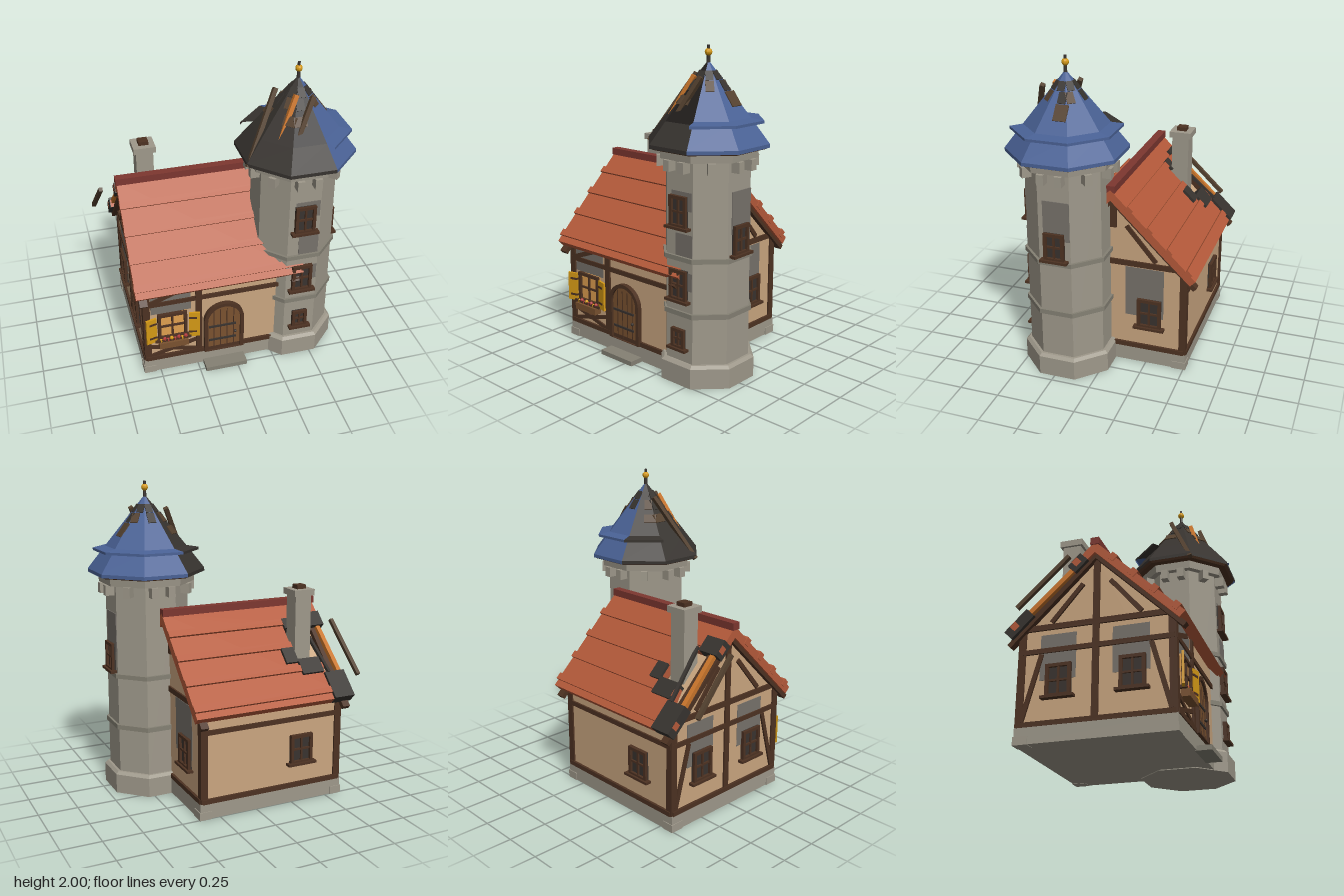
import * as THREE from 'three';

const C = {
  stone: 0x9f998b, stoneDark: 0x858174, plaster: 0xcaa680, wood: 0x4d3222, door: 0x7a5230, roof: 0xb55a3a,
  ridge: 0x7d3730, blue: 0x4a6296, char: 0x37332f, black: 0x211e1c, brown: 0x54412f, orange: 0xc9752b,
  gold: 0xd69a16, soot: 0x77726b, glass: 0x39332f, lit: 0xe0a050, flower: 0xb03a3a,
};
const mats = {};
const mat = (c) => (mats[c] ??= new THREE.MeshStandardMaterial({ color: C[c], flatShading: true, side: THREE.DoubleSide }));

function add(parent, name, geo, color, x = 0, y = 0, z = 0) {
  const m = new THREE.Mesh(geo, mat(color));
  m.name = name;
  m.position.set(x, y, z);
  parent.add(m);
  return m;
}
// box given by its extents on each axis
const span = (p, name, c, x0, x1, y0, y1, z0, z1) =>
  add(p, name, new THREE.BoxGeometry(x1 - x0, y1 - y0, z1 - z0), c, (x0 + x1) / 2, (y0 + y1) / 2, (z0 + z1) / 2);
// square timber between two points
function beam(p, name, c, a, b, w = 0.035, d = w) {
  const A = new THREE.Vector3(...a), B = new THREE.Vector3(...b), dir = B.clone().sub(A);
  const m = add(p, name, new THREE.BoxGeometry(w, dir.length(), d), c);
  m.position.copy(A).add(B).multiplyScalar(0.5);
  m.quaternion.setFromUnitVectors(new THREE.Vector3(0, 1, 0), dir.normalize());
  return m;
}
function sub(parent, name, x, y, z, ry = 0, rx = 0) {
  const g = new THREE.Group();
  g.name = name;
  g.position.set(x, y, z);
  g.rotation.set(rx, ry, 0, 'YXZ');
  parent.add(g);
  return g;
}
// framed window with cross bars and sill; local z points outwards
function windowAt(p, x, y, w, h, pane = 'glass') {
  const g = sub(p, 'window', x, y, 0), t = 0.02;
  span(g, 'pane', pane, -w / 2, w / 2, -h / 2, h / 2, -0.01, 0.008);
  for (const s of [-1, 1]) {
    add(g, 'frameSide', new THREE.BoxGeometry(t, h, 0.04), 'wood', s * (w - t) / 2, 0, 0.005);
    add(g, 'frameRail', new THREE.BoxGeometry(w, t, 0.04), 'wood', 0, s * (h - t) / 2, 0.005);
  }
  add(g, 'mullion', new THREE.BoxGeometry(0.012, h, 0.03), 'wood', 0, 0, 0.004);
  add(g, 'crossbar', new THREE.BoxGeometry(w, 0.012, 0.03), 'wood', 0, 0, 0.004);
  add(g, 'sill', new THREE.BoxGeometry(w + 0.045, 0.016, 0.06), 'wood', 0, -h / 2, 0.01);
  return g;
}
const soot = (p, x0, x1, y0, y1) => span(p, 'sootPatch', 'soot', x0, x1, y0, y1, -0.01, 0.003);

function buildHouse(root) {
  const house = sub(root, 'house', -0.11, 0, -0.035), W = 0.48, D = 0.465;
  span(house, 'foundation', 'stone', -0.495, 0.495, 0.01, 0.11, -D - 0.01, D + 0.01);
  for (const x of [-0.46, 0.46]) for (const z of [-0.435, 0.435])
    add(house, 'cornerStone', new THREE.BoxGeometry(0.08, 0.05, 0.09), 'stone', x, 0.033, z);
  const profile = new THREE.Shape([[-D, 0.1], [D, 0.1], [D, 0.67], [0, 1.125], [-D, 0.67]].map((p) => new THREE.Vector2(...p)));
  const walls = new THREE.ExtrudeGeometry(profile, { depth: 2 * W, bevelEnabled: false }).translate(0, 0, -W).rotateY(Math.PI / 2);
  add(house, 'plasterWalls', walls, 'plaster');

  // corner posts, sill beams and rails
  for (const sx of [-1, 1]) for (const sz of [-1, 1])
    add(house, 'cornerPost', new THREE.BoxGeometry(0.045, 0.57, 0.045), 'wood', sx * (W - 0.012), 0.395, sz * (D - 0.012));
  const faces = { front: [0, 0, D, 0, W], back: [0, 0, -D, Math.PI, W], right: [W, 0, 0, Math.PI / 2, D], left: [-W, 0, 0, -Math.PI / 2, D] };
  const f = {};
  for (const [k, [x, y, z, ry, half]] of Object.entries(faces)) {
    f[k] = sub(house, k + 'Wall', x, y, z, ry);
    span(f[k], 'sillBeam', 'wood', -half, half, 0.108, 0.138, -0.02, 0.016);
  }
  for (const k of ['front', 'back']) span(f[k], 'rail', 'wood', -W, W, 0.545, 0.575, -0.02, 0.012);
  for (const k of ['right', 'left']) {
    span(f[k], 'tieBeam', 'wood', -D, D, 0.69, 0.725, -0.02, 0.012);
    span(f[k], 'kingPost', 'wood', -0.02, 0.02, k === 'left' ? 0.13 : 0.94, 1.11, -0.02, 0.012);
    for (const s of [-1, 1]) {
      beam(f[k], 'gableBrace', 'wood', [s * 0.085, 0.96, 0], [s * 0.275, 0.735, 0], 0.028, 0.024);
      beam(f[k], 'bargeTimber', 'wood', [0, 1.125, 0.01], [s * 0.53, 0.605, 0.01], 0.03, 0.05);
    }
  }
  // front: window, shutters, flower box, braces, door
  const fr = f.front;
  span(fr, 'postMid', 'wood', -0.15, -0.11, 0.13, 0.67, -0.02, 0.014);
  soot(fr, -0.44, -0.18, 0.48, 0.67);
  beam(fr, 'brace', 'wood', [-0.45, 0.57, 0], [-0.24, 0.65, 0], 0.03, 0.024);
  for (const s of [-1, 1]) beam(fr, 'crossBrace', 'wood', [-0.3 - s * 0.15, 0.14, 0], [-0.3 + s * 0.15, 0.22, 0], 0.025, 0.022);
  windowAt(fr, -0.305, 0.38, 0.19, 0.2, 'lit');
  for (const s of [-1, 1]) {
    const sh = sub(fr, 'shutter', -0.305 + s * 0.14, 0.37, 0.03, -s * 0.25);
    add(sh, 'shutterBoard', new THREE.BoxGeometry(0.07, 0.19, 0.014), 'gold');
    for (const y of [-0.055, 0.055]) add(sh, 'hinge', new THREE.BoxGeometry(0.05, 0.014, 0.02), 'wood', -s * 0.01, y, 0);
  }
  span(fr, 'flowerBox', 'door', -0.4, -0.21, 0.228, 0.272, 0, 0.055);
  for (let i = 0; i < 8; i++)
    add(fr, 'flower', new THREE.IcosahedronGeometry(0.014), i % 3 ? 'flower' : 'gold', -0.385 + i * 0.023, 0.28 + (i % 2) * 0.01, 0.03);
  const arch = (r, y0) => {
    const s = new THREE.Shape();
    s.moveTo(-r, y0); s.lineTo(r, y0); s.lineTo(r, 0.36);
    s.absarc(0, 0.36, r, 0, Math.PI); s.lineTo(-r, y0);
    return s;
  };
  const door = sub(fr, 'door', 0.033, 0, 0), frame = arch(0.132, 0.11);
  frame.holes.push(arch(0.108, 0.112));
  add(door, 'doorFrame', new THREE.ExtrudeGeometry(frame, { depth: 0.04, bevelEnabled: false }), 'wood', 0, 0, -0.01);
  add(door, 'doorLeaf', new THREE.ExtrudeGeometry(arch(0.11, 0.11), { depth: 0.025, bevelEnabled: false }), 'door', 0, 0, -0.01);
  for (const x of [-0.066, -0.022, 0.022, 0.066]) span(door, 'plankGap', 'wood', x - 0.003, x + 0.003, 0.12, 0.44, 0, 0.017);
  for (const y of [0.19, 0.3]) span(door, 'strap', 'glass', -0.1, 0.08, y, y + 0.014, 0, 0.022);
  add(door, 'handle', new THREE.SphereGeometry(0.01, 8, 6), 'glass', 0.075, 0.245, 0.025);
  span(fr, 'doorStep', 'stoneDark', -0.105, 0.17, 0.005, 0.035, 0, 0.1);
  // side and back windows
  soot(f.right, 0.075, 0.325, 0.34, 0.68);
  windowAt(f.right, 0.235, 0.37, 0.155, 0.2);
  windowAt(f.back, 0.2, 0.36, 0.155, 0.19);
  for (const s of [-1, 1]) {
    soot(f.left, s * 0.22 - 0.12, s * 0.22 + 0.1, 0.38, 0.66);
    windowAt(f.left, s * 0.22, 0.37, 0.155, 0.2);
    beam(f.left, 'wallBrace', 'wood', [s * 0.44, 0.14, 0], [s * 0.33, 0.54, 0], 0.028, 0.024);
  }
  span(f.left, 'rail', 'wood', -D, D, 0.545, 0.575, -0.02, 0.012);
}

function buildRoof(root) {
  const L = 0.755, H = 0.5375, tilt = 0.775;
  // slope frame: local x along the ridge, local z down the slope, local y outwards
  const slope = (name, ry, pts) => {
    const g = sub(root, name, -0.1075, 1.205, -0.035, ry, tilt);
    const shape = new THREE.Shape(pts.map((p) => new THREE.Vector2(...p)));
    add(g, 'tiles', new THREE.ExtrudeGeometry(shape, { depth: 0.05, bevelEnabled: false }).rotateX(Math.PI / 2), 'roof');
    return g;
  };
  const front = slope('frontSlope', 0, [[-H, 0], [H, 0], [H, L], [-H, L]]);
  const back = slope('backSlope', Math.PI, [[-H, 0], [H, 0], [H, 0.217], [0.25, 0.217], [0.25, 0.448],
    [0.4, 0.47], [0.42, 0.567], [H, 0.567], [H, L], [-H, L]]);
  [0.165, 0.34, 0.515, 0.69].forEach((v, i) => {
    span(front, 'tileCourse', 'roof', -H - 0.004, H + 0.004, -0.03, 0.016, v - 0.022, v + 0.022);
    const end = i === 1 ? 0.25 : i === 2 ? 0.41 : H + 0.004;
    span(back, 'tileCourse', 'roof', -H - 0.004, end, -0.03, 0.016, v - 0.022, v + 0.022);
  });
  span(root, 'ridgeCap', 'ridge', -0.652, 0.43, 1.185, 1.23, -0.062, -0.008);
  // charred tiles around the hole
  for (const [x0, x1, v0, v1] of [[0.4, 0.541, 0.567, 0.757], [0.4, 0.541, 0.11, 0.217], [0.25, 0.4, 0.45, 0.56],
    [0.165, 0.25, 0.36, 0.47], [0.25, 0.32, 0.14, 0.217]])
    span(back, 'charredTiles', 'char', x0, x1, -0.052, 0.018, v0, v1);
  beam(back, 'brokenRafter', 'orange', [0.5, -0.01, 0.2], [0.515, -0.01, 0.6], 0.03);
  beam(back, 'brokenRafter', 'wood', [0.47, -0.03, 0.2], [0.47, -0.03, 0.58], 0.03);
  beam(back, 'loosePlank', 'char', [0.38, 0.015, 0.2], [0.43, 0.015, 0.57], 0.02);
  beam(root, 'fallenBeam', 'brown', [-0.755, 0.775, -0.46], [-0.73, 1.08, -0.16], 0.025);

  const ch = sub(root, 'chimney', -0.43, 0, -0.245);
  span(ch, 'shaft', 'stone', -0.056, 0.056, 0.8, 1.3, -0.056, 0.056);
  span(ch, 'cap', 'stone', -0.072, 0.072, 1.29, 1.33, -0.072, 0.072);
  span(ch, 'flue', 'wood', -0.032, 0.032, 1.32, 1.355, -0.032, 0.032);
}

function buildTower(root) {
  const t = sub(root, 'tower', 0.423, 0, 0.232), k = 1 / Math.cos(Math.PI / 8);
  // octagonal drum, radii measured to the flats
  const oct = (name, c, rt, rb, y0, y1) =>
    add(t, name, new THREE.CylinderGeometry(rt * k, rb * k, y1 - y0, 8, 1, false, Math.PI / 8), c, 0, (y0 + y1) / 2, 0);
  oct('plinth', 'stone', 0.28, 0.28, 0.005, 0.13);
  oct('plinthBevel', 'stone', 0.262, 0.28, 0.13, 0.147);
  oct('shaft', 'stone', 0.242, 0.247, 0.14, 1.4);
  oct('band', 'stoneDark', 0.26, 0.26, 0.435, 0.465);
  oct('band', 'stoneDark', 0.26, 0.26, 0.775, 0.803);
  oct('collar', 'stone', 0.285, 0.28, 1.37, 1.428);
  for (let i = 0; i < 8; i++) {
    const g = sub(t, 'corbels', 0, 0, 0, i * Math.PI / 4);
    for (const x of i % 2 ? [0] : [-0.055, 0.055])
      add(g, 'corbel', new THREE.BoxGeometry(0.045, 0.065, 0.07), 'stone', x, 1.338, 0.265);
  }
  const south = sub(t, 'frontFace', 0, 0, 0.245), east = sub(t, 'sideFace', 0.245, 0, 0, Math.PI / 2);
  soot(south, -0.06, 0.095, 1.08, 1.19);
  soot(south, -0.03, 0.098, 0.805, 0.94);
  soot(south, 0, 0.098, 0.6, 0.71);
  soot(east, -0.07, 0.098, 0.94, 1.19);
  windowAt(south, 0, 1.07, 0.13, 0.19);
  windowAt(south, 0, 0.625, 0.13, 0.19);
  windowAt(south, 0, 0.29, 0.1, 0.125);
  windowAt(east, 0, 0.9, 0.13, 0.18);

  // spire, one side at a time: intact blue sides and burnt dark ones
  const spire = sub(t, 'spire', 0, 0, 0), a = Math.PI / 4;
  oct('eaveBoard', 'wood', 0.337, 0.325, 1.422, 1.445);
  const side = (name, c, i, rt, rb, y0, y1) =>
    add(spire, name, new THREE.CylinderGeometry(rt * k, rb * k, y1 - y0, 1, 1, true, (i - 0.5) * a, a), c, 0, (y0 + y1) / 2, 0);
  for (let i = 0; i < 8; i++) {
    const blue = i >= 1 && i <= 4, c = blue ? 'blue' : 'char';
    side('eaveEdge', c, i, 0.343, 0.343, 1.43, 1.452);
    side('skirt', c, i, 0.25, 0.343, 1.452, 1.58);
    side('upperSide', i === 0 ? 'black' : c, i, 0.004, 0.25, 1.58, 1.91);
    if (blue || i === 5) {
      side('courseTop', c, i, 0.238, 0.31, 1.584, 1.596);
      side('courseEdge', c, i, 0.31, 0.31, 1.568, 1.584);
    }
    // scorched shingle patches lying on the side
    const g = sub(spire, 'scorchedShingles', 0, 1.91, 0, i * a, Math.atan2(0.33, 0.25));
    const put = (x, v, w, h, col) => add(g, 'shingle', new THREE.BoxGeometry(w, 0.008, h), col, x, 0.003, v);
    put((i % 3 - 1) * 0.02, 0.17, 0.05, 0.07, i % 2 ? 'brown' : 'char');
    if (!blue) put((i % 2 - 0.5) * 0.07, 0.27, 0.08, 0.06, 'brown');
    if (i === 2) put(0.03, 0.26, 0.08, 0.1, 'brown');
    put(0, 0.1, 0.045, 0.06, 'char');
  }
  // exposed rafters leaning on the burnt side
  beam(root, 'rafter', 'brown', [0.085, 1.425, 0.37], [0.3, 1.83, 0.19], 0.027);
  beam(root, 'rafter', 'orange', [0.19, 1.43, 0.44], [0.388, 1.83, 0.31], 0.027);
  beam(root, 'rafter', 'brown', [0.27, 1.43, 0.5], [0.475, 1.83, 0.355], 0.027);
  add(t, 'finialRod', new THREE.CylinderGeometry(0.009, 0.012, 0.13, 8), 'glass', 0, 1.935, 0);
  add(t, 'finialBall', new THREE.SphereGeometry(0.022, 10, 8), 'gold', 0, 1.96, 0);
}

export function createModel() {
  const root = new THREE.Group();
  root.name = 'towerHouse';
  buildHouse(root);
  buildRoof(root);
  buildTower(root);
  return root;
}
